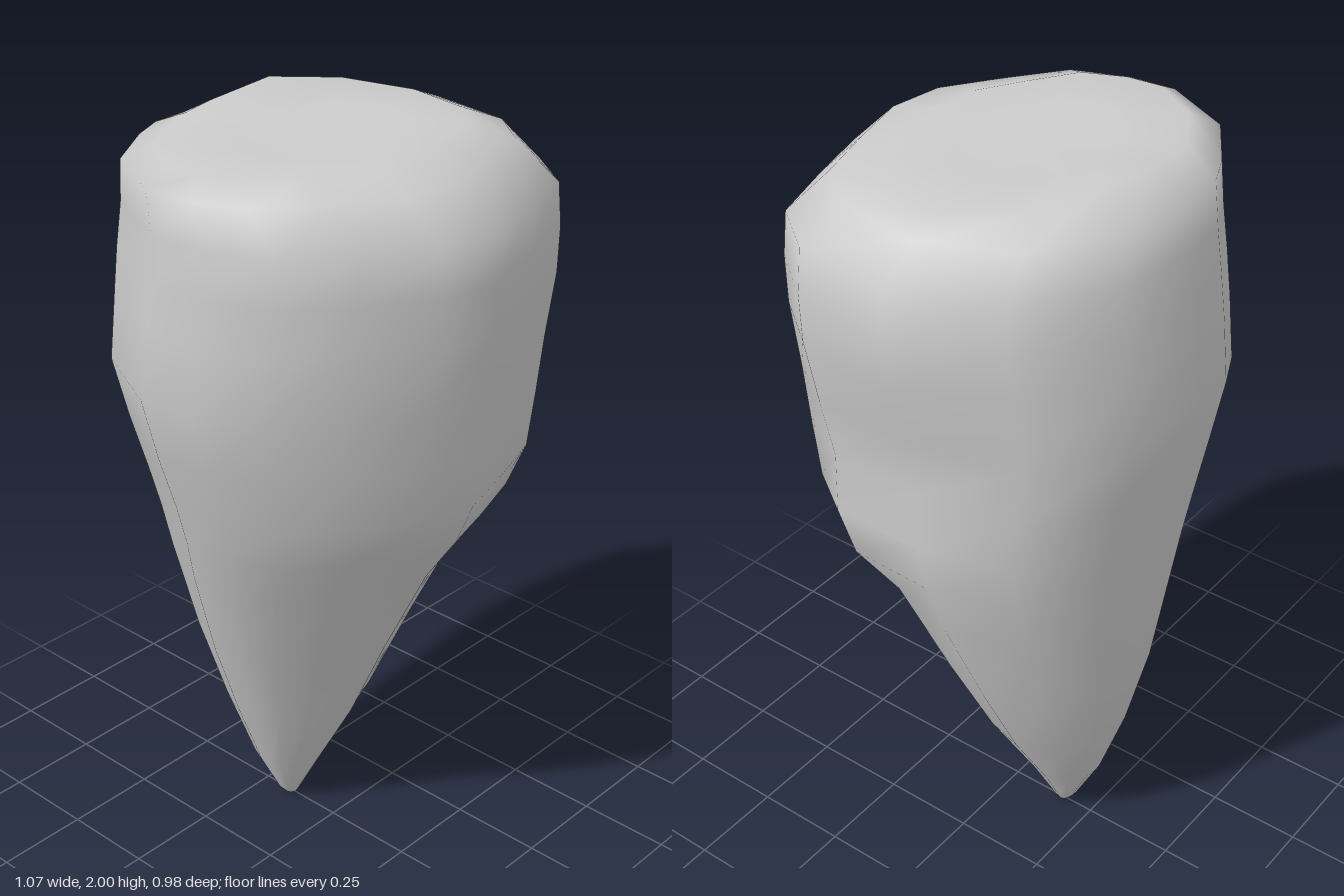
import * as THREE from 'three';

// Irregular outline seen from above, as [x, z], running from left to front to right to back
const OUTLINE = [
  [0.53, -0.05], [0.49, 0.23], [0.38, 0.375], [0.18, 0.44], [0, 0.49], [-0.16, 0.465],
  [-0.32, 0.35], [-0.47, 0.23], [-0.53, 0.06], [-0.54, -0.09], [-0.43, -0.32], [-0.26, -0.44],
  [-0.16, -0.488], [-0.05, -0.493], [0.2, -0.47], [0.42, -0.32],
];

// Cross-sections from tip to crown: [y, xMin, xMax, zBack, zFront, x limit of the flat left facet]
const SECTIONS = [
  [0.005, -0.02, 0.015, -0.175, -0.14],
  [0.03, -0.04, 0.03, -0.195, -0.125],
  [0.15, -0.10, 0.093, -0.255, -0.06],
  [0.36, -0.185, 0.215, -0.325, 0.05],
  [0.6, -0.275, 0.325, -0.38, 0.155],
  [0.87, -0.37, 0.425, -0.415, 0.288],
  [1.0, -0.413, 0.475, -0.433, 0.375, 0.45],
  [1.12, -0.453, 0.505, -0.45, 0.427, 0.46],
  [1.27, -0.50, 0.52, -0.47, 0.447, 0.445],
  [1.43, -0.54, 0.53, -0.492, 0.468, 0.475],
  [1.6, -0.53, 0.535, -0.48, 0.49, 0.525],
  [1.72, -0.525, 0.533, -0.465, 0.492],
  [1.83, -0.515, 0.515, -0.448, 0.488],
  [1.93, -0.505, 0.44, -0.422, 0.39],
  [1.963, -0.44, 0.36, -0.33, 0.26],
  [1.96, -0.26, 0.2, -0.19, 0.14],
];

function loft(sections, outline) {
  const n = outline.length;
  const positions = [];
  const index = [];
  for (const [y, x0, x1, z0, z1, facet = Infinity] of sections) {
    for (const [px, pz] of outline) {
      // the root is slimmer at its front left corner
      const slim = y < 0.9 && px > 0.1 && px < 0.5 && pz > 0 ? 0.93 : 1;
      const x = (x0 + x1) / 2 + slim * ((px + 0.005) / 0.535) * (x1 - x0) / 2;
      const z = (z0 + z1) / 2 + slim * (pz / 0.4925) * (z1 - z0) / 2;
      // raised lip along the back of the crown
      const lip = y > 1.95 && z < -0.2 ? 0.037 * Math.max(0, 1 - Math.abs(x - 0.1) / 0.3) : 0;
      positions.push(Math.min(x, facet), y + lip, z);
    }
  }
  for (let r = 0; r < sections.length - 1; r++) {
    for (let i = 0; i < n; i++) {
      const a = r * n + i, b = r * n + (i + 1) % n;
      index.push(a, a + n, b, b, a + n, b + n);
    }
  }
  // close the tip and the top
  const tip = positions.length / 3, top = tip + 1, last = (sections.length - 1) * n;
  positions.push(0, 0, -0.157, -0.03, 1.957, -0.04);
  for (let i = 0; i < n; i++) {
    const j = (i + 1) % n;
    index.push(tip, i, j, top, last + j, last + i);
  }
  const geometry = new THREE.BufferGeometry();
  geometry.setAttribute('position', new THREE.Float32BufferAttribute(positions, 3));
  geometry.setIndex(index);
  geometry.computeVertexNormals();
  return geometry;
}

export function createModel() {
  const group = new THREE.Group();
  group.name = 'tooth';
  const body = new THREE.Mesh(
    loft(SECTIONS, OUTLINE),
    new THREE.MeshStandardMaterial({ color: 0xcccccc }),
  );
  body.name = 'toothBody';
  group.add(body);
  return group;
}
